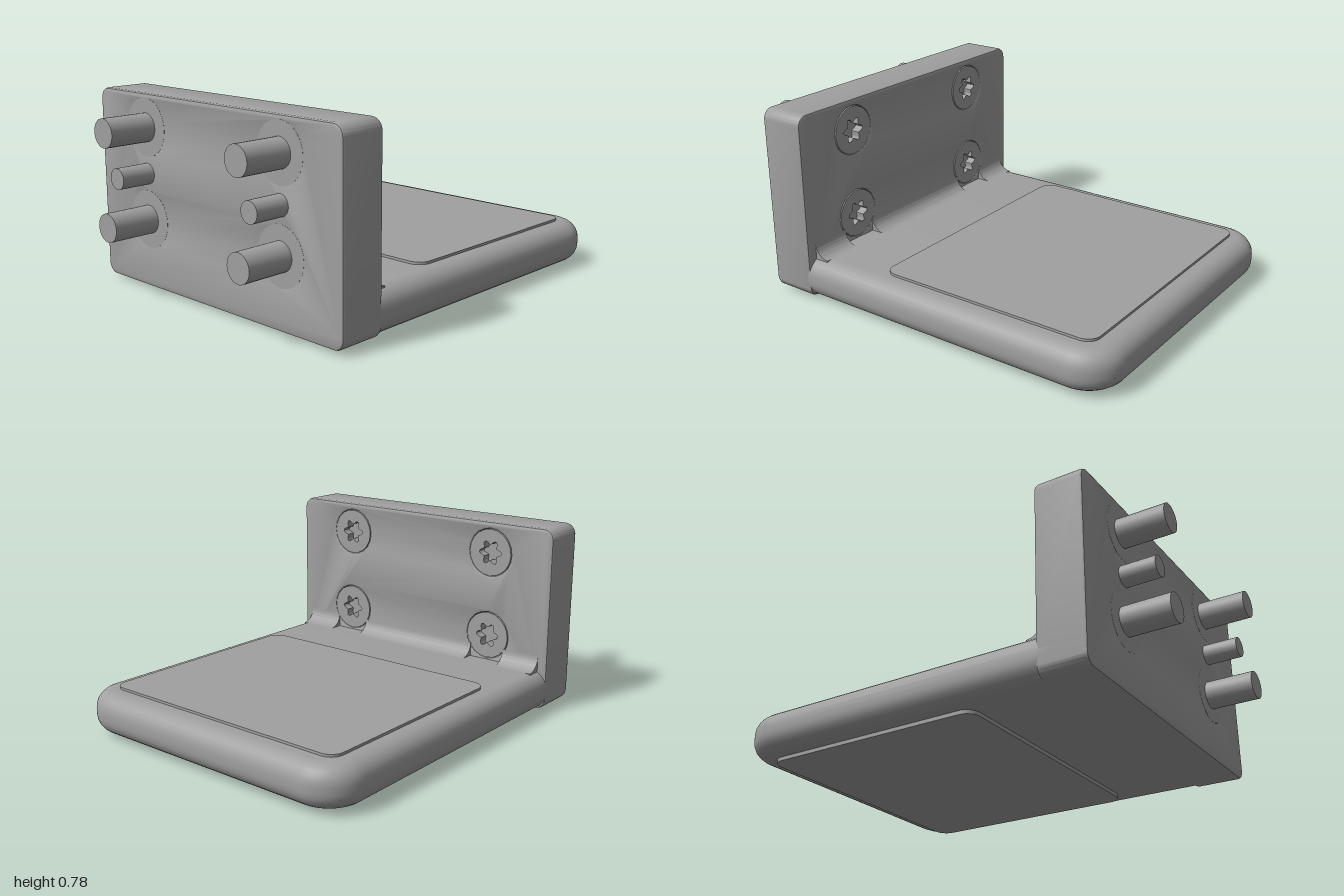
import * as THREE from 'three';
import { toCreasedNormals } from 'three/addons/utils/BufferGeometryUtils.js';

const metal = new THREE.MeshStandardMaterial({ color: 0xa0a0a0 });
metal.name = 'grey metal';

// Rounded rectangle; rl and rr are the corner radii of the left and right ends
function roundedRect(x0, x1, y0, y1, rl, rr = rl) {
  const s = new THREE.Shape();
  s.absarc(x1 - rr, y0 + rr, rr, -Math.PI / 2, 0);
  s.absarc(x1 - rr, y1 - rr, rr, 0, Math.PI / 2);
  s.absarc(x0 + rl, y1 - rl, rl, Math.PI / 2, Math.PI);
  s.absarc(x0 + rl, y0 + rl, rl, Math.PI, Math.PI * 1.5);
  s.closePath();
  return s;
}

// Extrusion from z = 0 to depth whose bevel stays inside the outline
function extrude(shape, depth, bevel = 0, bevelSegments = 1) {
  return new THREE.ExtrudeGeometry(shape, {
    depth: depth - 2 * bevel, curveSegments: 10, bevelEnabled: bevel > 0,
    bevelThickness: bevel, bevelSize: bevel, bevelOffset: -bevel, bevelSegments,
  }).translate(0, 0, bevel);
}

export function createModel() {
  const model = new THREE.Group();
  model.name = 'mountingBracket';
  const body = new THREE.Group();
  body.name = 'bracket';
  body.rotation.y = Math.PI / 6;
  model.add(body);

  const add = (name, geometry) => {
    const mesh = new THREE.Mesh(toCreasedNormals(geometry, 0.6), metal);
    mesh.name = name;
    body.add(mesh);
    return mesh;
  };
  // Round bar lying along x
  const rod = (name, r, x0, x1, y, z) =>
    add(name, new THREE.CylinderGeometry(r, r, x1 - x0, 28).rotateZ(Math.PI / 2).translate((x0 + x1) / 2, y, z));

  const outer = -0.715, inner = -0.52, armTop = 0.182;
  const columns = [-0.37, 0.37], rows = [0.29, 0.65];

  // Upright plate with four screw holes
  const plate = roundedRect(-0.662, 0.662, 0.015, 0.78, 0.045);
  for (const z of columns) for (const y of rows) {
    plate.holes.push(new THREE.Path().absarc(z, y, 0.1, 0, Math.PI * 2, true));
  }
  add('uprightPlate', extrude(plate, inner - outer, 0.012, 2).rotateY(Math.PI / 2).translate(outer, 0, 0));

  // Horizontal arm with rounded edges
  const arm = roundedRect(-0.68, 0.84, -0.662, 0.662, 0.09, 0.16);
  add('arm', extrude(arm, armTop - 0.015, 0.07, 6).rotateX(-Math.PI / 2).translate(0, 0.015, 0));

  // Thin pads above and below the arm
  const pad = roundedRect(-0.205, 0.738, -0.568, 0.568, 0.055);
  add('topPad', extrude(pad, 0.02).rotateX(-Math.PI / 2).translate(0, 0.172, 0));
  add('bottomPad', extrude(pad, 0.03).rotateX(-Math.PI / 2));

  // Concave fillet, interrupted around the lower screws
  const r = 0.06;
  const fillet = new THREE.Shape();
  fillet.moveTo(inner - 0.01, 0.16);
  fillet.lineTo(inner + r, 0.16);
  fillet.lineTo(inner + r, armTop);
  fillet.absarc(inner + r, armTop + r, r, Math.PI * 1.5, Math.PI, true);
  fillet.lineTo(inner - 0.01, armTop + r);
  fillet.closePath();
  for (const [z0, z1] of [[-0.62, -0.45], [-0.29, 0.29], [0.45, 0.62]]) {
    add('fillet', extrude(fillet, z1 - z0).translate(0, 0, z0));
  }

  // Screw head with a six-lobed socket
  const head = new THREE.Shape().absarc(0, 0, 0.1, 0, Math.PI * 2);
  const lobes = [];
  for (let i = 0; i < 48; i++) {
    const a = -i / 48 * Math.PI * 2, d = 0.044 + 0.01 * Math.cos(6 * a);
    lobes.push(new THREE.Vector2(d * Math.cos(a), d * Math.sin(a)));
  }
  head.holes.push(new THREE.Path(lobes));
  const headGeometry = extrude(head, 0.045).rotateY(Math.PI / 2);

  for (const z of columns) {
    for (const y of rows) {
      add('screwHead', headGeometry.clone()).position.set(inner - 0.046, y, z);
      rod('screwCore', 0.1, outer + 0.005, inner - 0.04, y, z);
      rod('screwCollar', 0.114, outer - 0.0005, outer + 0.014, y, z);
      rod('screwShank', 0.056, -0.907, outer + 0.01, y, z);
    }
    // Locating pin between the screws
    rod('locatingPin', 0.041, -0.855, outer + 0.01, 0.47, z);
  }
  return model;
}
